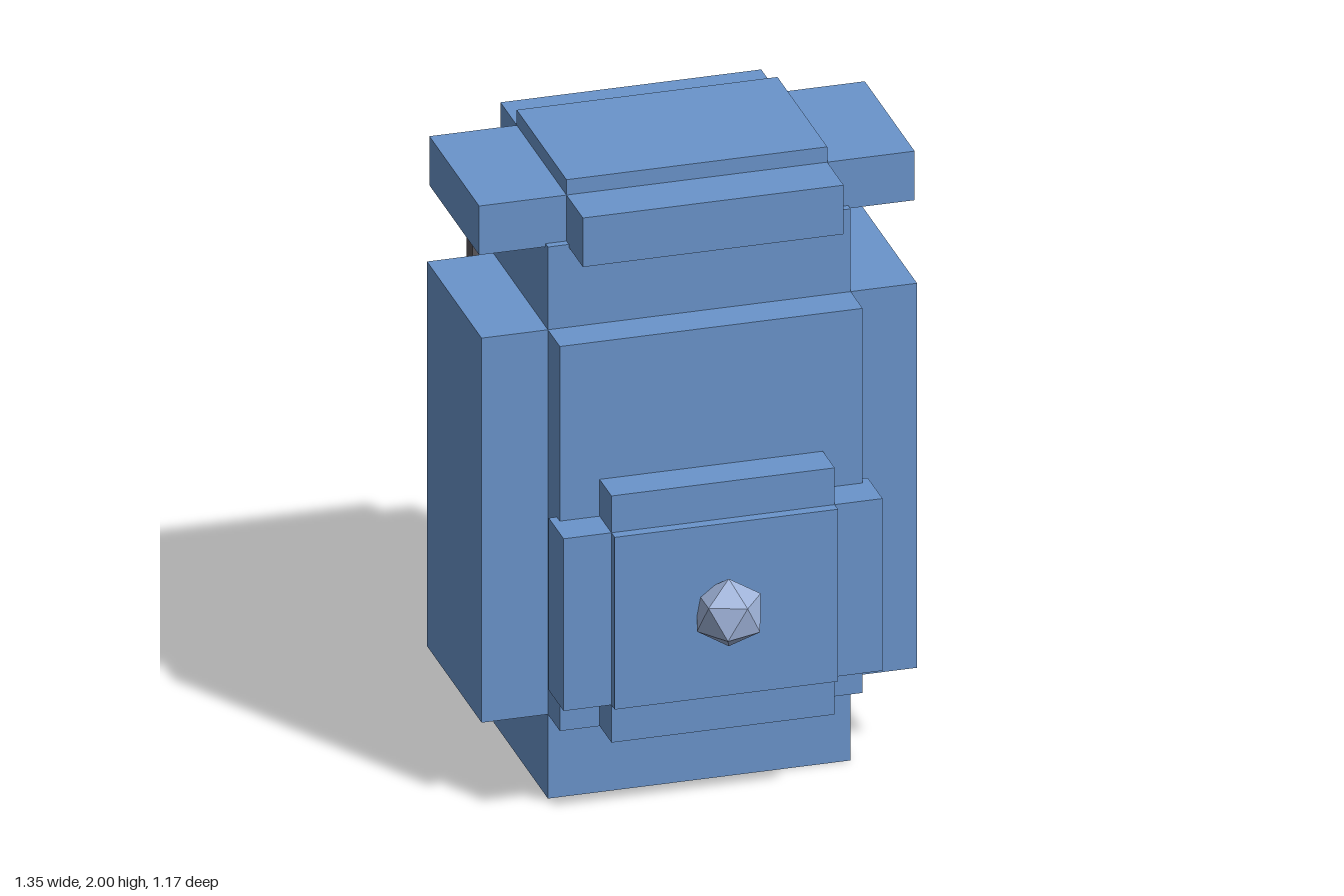
import * as THREE from 'three';
import { ConvexGeometry } from 'three/addons/geometries/ConvexGeometry.js';

const material = (name, color) => {
  const m = new THREE.MeshStandardMaterial({ color });
  m.name = name;
  return m;
};

// Box given by its extents on each axis
function block(name, mat, [x0, x1], [y0, y1], [z0, z1]) {
  const mesh = new THREE.Mesh(new THREE.BoxGeometry(x1 - x0, y1 - y0, z1 - z0), mat);
  mesh.position.set((x0 + x1) / 2, (y0 + y1) / 2, (z0 + z1) / 2);
  mesh.name = name;
  return mesh;
}

// Twenty-sided ball with a pole on y and two staggered rings
function buttonGeometry(r) {
  const points = [new THREE.Vector3(0, r, 0), new THREE.Vector3(0, -r, 0)];
  const h = r / Math.sqrt(5);
  for (let i = 0; i < 5; i++) {
    const a = (i * 2 * Math.PI) / 5;
    const x = 2 * h * Math.cos(a), z = 2 * h * Math.sin(a);
    points.push(new THREE.Vector3(x, h, z), new THREE.Vector3(-x, -h, -z));
  }
  return new ConvexGeometry(points);
}

export function createModel() {
  const model = new THREE.Group();
  model.name = 'backpack';
  const blue = material('blue cloth', 0x6a94cb);
  const dark = material('dark strap', 0x5a575c);
  const pale = material('pale button', 0x9fb3d9);
  const sym = (w) => [-w, w];

  const group = (name, ...parts) => {
    const g = new THREE.Group();
    g.name = name;
    g.add(...parts);
    model.add(g);
  };

  // Bag: three crossing boxes
  group('bag',
    block('bagCore', blue, sym(0.468), [0, 1.8], [-0.375, 0.188]),
    block('bagSides', blue, sym(0.673), [0.275, 1.53], [-0.375, 0.188]),
    block('bagFrontAndBack', blue, sym(0.468), [0.275, 1.53], [-0.498, 0.311]));

  // Lid
  group('lid',
    block('lidTop', blue, sym(0.403), [1.79, 2], [-0.35, 0.163]),
    block('lidSides', blue, sym(0.673), [1.79, 1.95], [-0.35, 0.163]),
    block('lidFrontAndBack', blue, sym(0.403), [1.79, 1.95], [-0.518, 0.332]));

  // Front pocket
  group('pocket',
    block('pocketTall', blue, sym(0.345), [0.275, 1.08], [0.28, 0.433]),
    block('pocketWide', blue, sym(0.493), [0.398, 0.96], [0.28, 0.433]),
    block('pocketDeep', blue, sym(0.345), [0.398, 0.96], [0.28, 0.467]));

  const button = new THREE.Mesh(buttonGeometry(0.11), pale);
  button.name = 'button';
  button.position.set(0, 0.68, 0.492);
  model.add(button);

  // Shoulder straps on the back
  for (const [name, side] of [['leftStrap', 1], ['rightStrap', -1]]) {
    const span = (w) => [side * 0.403 - w, side * 0.403 + w];
    group(name,
      block('strapLong', dark, span(0.062), [0.23, 1.8], [-0.574, -0.511]),
      block('strapWide', dark, span(0.088), [0.465, 1.56], [-0.574, -0.511]),
      block('strapDeep', dark, span(0.062), [0.465, 1.56], [-0.587, -0.499]));
  }
  return model;
}
